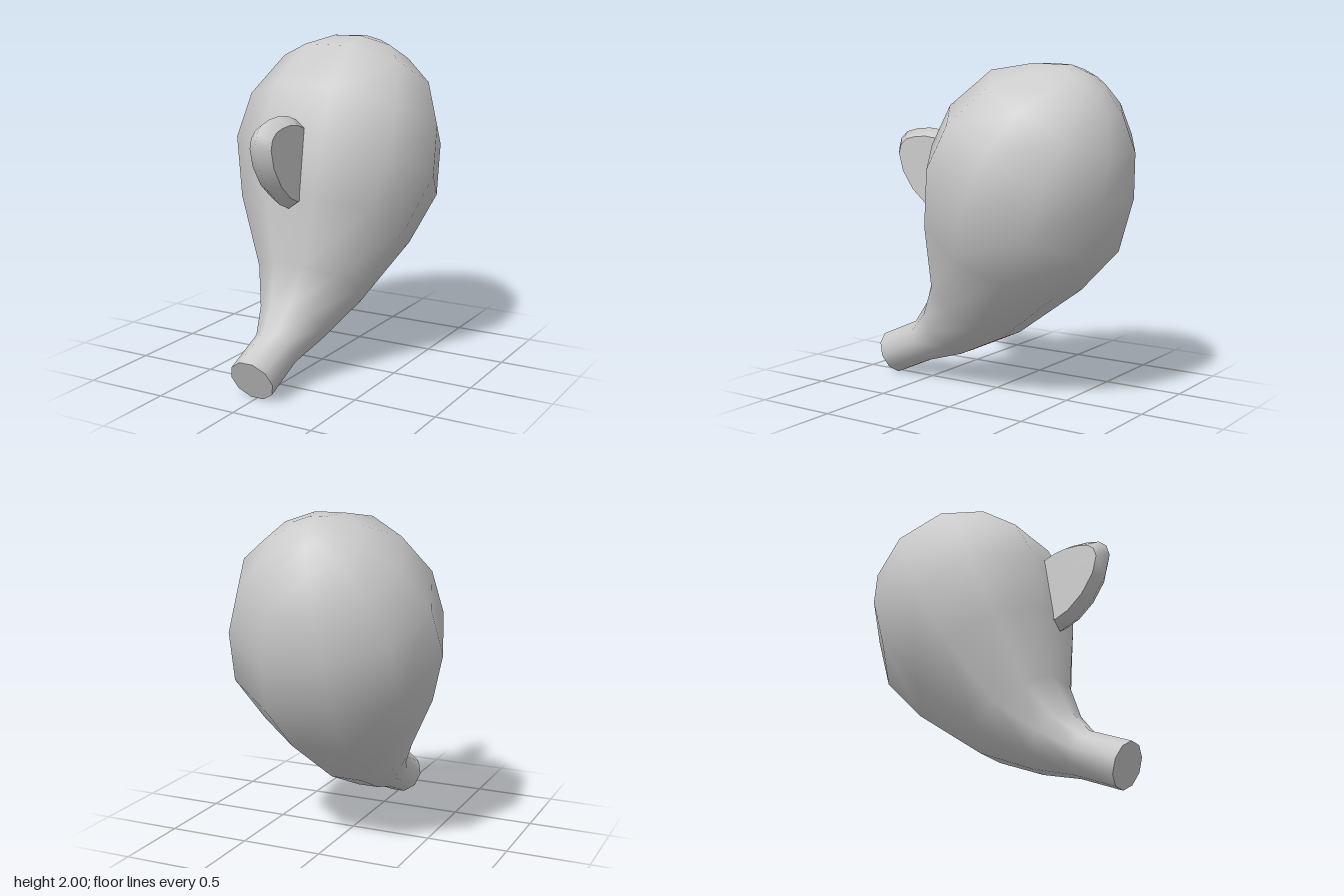
import * as THREE from 'three';
import { mergeGeometries, mergeVertices } from 'three/addons/utils/BufferGeometryUtils.js';

function makeGeometry(points, index) {
  const g = new THREE.BufferGeometry().setFromPoints(points);
  g.setIndex(index);
  const merged = mergeVertices(g);
  merged.computeVertexNormals();
  return merged;
}

// Smooth skin through rings of equal count; rings run counter-clockwise seen from the first end
function loft(rings) {
  const n = rings[0].length, index = [];
  for (let r = 0; r < rings.length - 1; r++) {
    for (let i = 0; i < n; i++) {
      const a = r * n + i, b = r * n + (i + 1) % n;
      index.push(a, a + n, b, b, a + n, b + n);
    }
  }
  return makeGeometry(rings.flat(), index);
}

// Flat fan closing a ring
function cap(ring, flip = false) {
  const pts = flip ? [...ring].reverse() : ring;
  const centre = new THREE.Vector3();
  pts.forEach(p => centre.addScaledVector(p, 1 / pts.length));
  const index = [];
  pts.forEach((_, i) => index.push(0, i + 1, (i + 1) % pts.length + 1));
  return makeGeometry([centre, ...pts], index);
}

export function createModel() {
  const group = new THREE.Group();
  const material = new THREE.MeshStandardMaterial({ color: 0xcccccc });
  const add = (name, parts) => {
    const mesh = new THREE.Mesh(mergeGeometries(parts), material);
    mesh.name = name;
    group.add(mesh);
  };

  // Bulb and neck: each ring spans an upper (z, y) and a lower (z, y) profile point
  const SIDES = 10;
  const spans = [
    [0.86, 0.245, 0.75, 0.005],
    [0.60, 0.36, 0.49, 0.12],
    [0.49, 0.50, 0.23, 0.20],
    [0.40, 0.72, -0.10, 0.35],
    [0.395, 1.14, -0.50, 0.65],
    [0.34, 1.51, -0.73, 0.90],
    [0.21, 1.75, -0.83, 1.22],
    [-0.06, 1.96, -0.855, 1.49],
    [-0.32, 2.0, -0.80, 1.71],
    [-0.49, 1.99, -0.72, 1.85],
  ];
  const rings = spans.map(([z1, y1, z2, y2]) => {
    const centre = new THREE.Vector3(0, (y1 + y2) / 2, (z1 + z2) / 2);
    const up = new THREE.Vector3(0, y1 - y2, z1 - z2);
    const radius = up.length() / 2 / Math.cos(Math.PI / SIDES);
    up.normalize();
    return Array.from({ length: SIDES }, (_, i) => {
      const a = i * 2 * Math.PI / SIDES;
      const p = centre.clone().addScaledVector(up, radius * Math.sin(a));
      p.x = radius * Math.cos(a);
      return p;
    });
  });
  // Rounded rear end closes in a point
  rings.push(Array.from({ length: SIDES }, () => new THREE.Vector3(0, 1.95, -0.61)));
  add('body', [loft(rings), cap(rings[0])]);

  // Front fin: bevelled slab with a ridge along its middle plane, rooted in the body
  const outline = [
    [0.31, 1.555], [0.41, 1.59], [0.50, 1.60], [0.60, 1.592], [0.68, 1.572], [0.73, 1.53],
    [0.75, 1.46], [0.715, 1.33], [0.62, 1.19], [0.50, 1.09], [0.40, 1.048],
    [0.30, 1.08], [0.22, 1.25], [0.24, 1.45],
  ];
  const finRing = (x, s) => outline.map(([z, y]) =>
    new THREE.Vector3(x, 1.325 + (y - 1.325) * s, 0.45 + (z - 0.45) * s));
  const finRings = [finRing(0.075, 0.82), finRing(0.005, 1), finRing(-0.065, 0.82)];
  add('frontFin', [loft(finRings), cap(finRings[0]), cap(finRings[2], true)]);

  return group;
}
